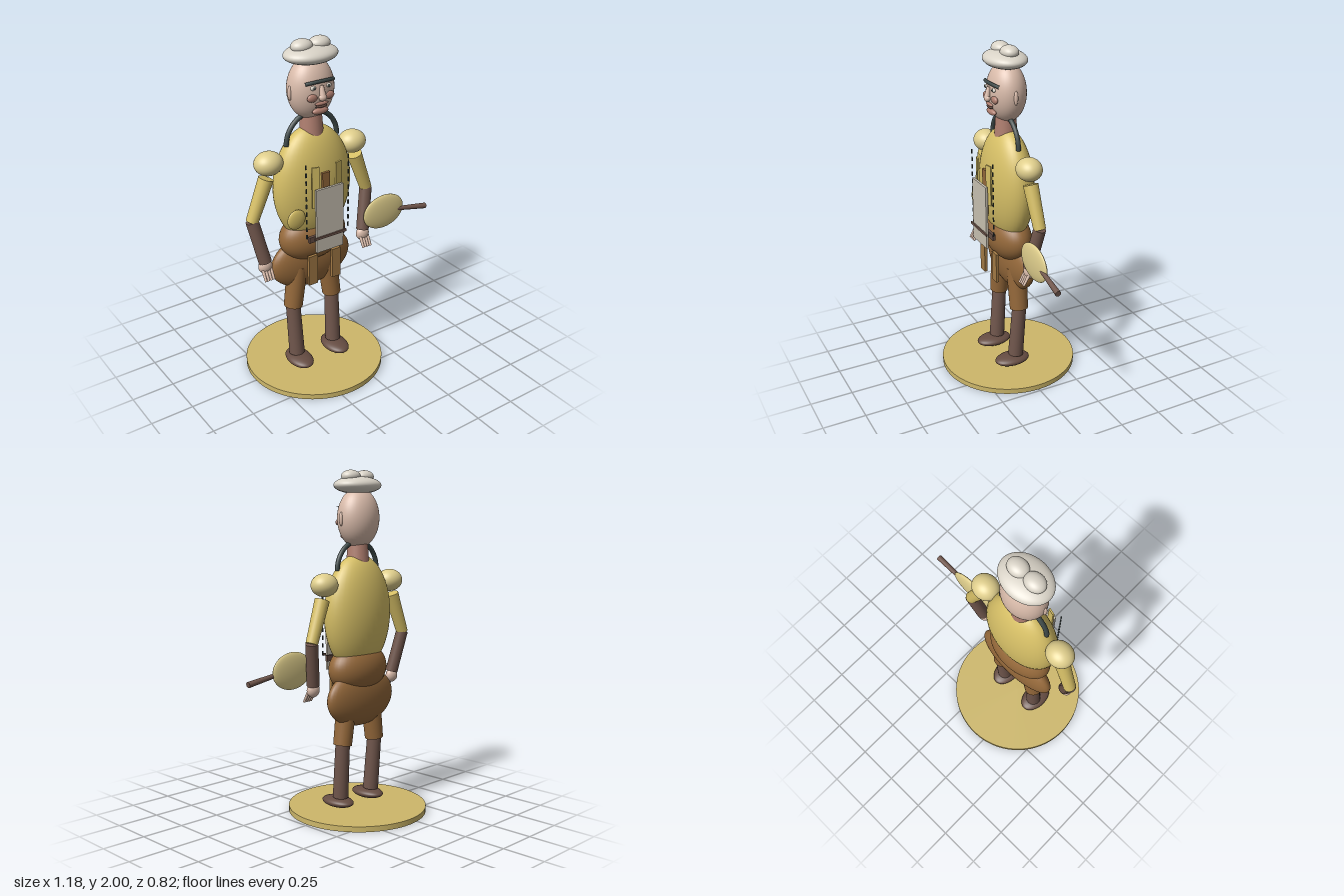
import * as THREE from 'three';

const CX = -0.175; // figure's centre line
const mat = (color) => new THREE.MeshStandardMaterial({ color });
const M = {
  yellow: mat(0xd6bf66), pale: mat(0xdfce8c), base: mat(0xcdb76a), brown: mat(0x94683a),
  tan: mat(0xa27a45), dark: mat(0x70564c), shoe: mat(0x654c42), skin: mat(0xd9bbaa),
  lip: mat(0xb07f70), hat: mat(0xd9d3c7), slate: mat(0x3d4847), panel: mat(0xc9c1b2),
};

export function createModel() {
  const root = new THREE.Group();

  const add = (name, geometry, material, parent = root) => {
    const mesh = new THREE.Mesh(geometry, material);
    mesh.name = name;
    parent.add(mesh);
    return mesh;
  };
  const ball = (name, material, [x, y, z], [rx, ry, rz], parent) => {
    const mesh = add(name, new THREE.SphereGeometry(1, 40, 28), material, parent);
    mesh.position.set(x, y, z);
    mesh.scale.set(rx, ry, rz);
    return mesh;
  };
  const box = (name, material, [x, y, z], [w, h, d], parent) => {
    const mesh = add(name, new THREE.BoxGeometry(w, h, d), material, parent);
    mesh.position.set(x, y, z);
    return mesh;
  };
  // Tapered cylinder running from point a to point b
  const limb = (name, material, a, b, ra, rb, parent) => {
    const from = new THREE.Vector3(...a), to = new THREE.Vector3(...b);
    const dir = to.clone().sub(from);
    const mesh = add(name, new THREE.CylinderGeometry(rb, ra, dir.length(), 28), material, parent);
    mesh.position.copy(from).add(to).multiplyScalar(0.5);
    mesh.quaternion.setFromUnitVectors(new THREE.Vector3(0, 1, 0), dir.normalize());
    return mesh;
  };

  // Round stand
  const stand = add('stand', new THREE.CylinderGeometry(0.41, 0.41, 0.032, 72), M.base);
  stand.position.set(CX, 0.016, 0);

  const figure = new THREE.Group();
  figure.name = 'figure';
  figure.position.x = CX;
  root.add(figure);

  // Trunk
  ball('torso', M.yellow, [0, 1.18, 0.003], [0.242, 0.345, 0.133], figure);
  ball('waist', M.brown, [0, 0.86, 0], [0.212, 0.15, 0.122], figure);
  ball('hips', M.brown, [0, 0.69, -0.022], [0.264, 0.17, 0.078], figure);
  limb('neck', M.lip, [0, 1.47, 0.004], [0, 1.59, 0.004], 0.067, 0.058, figure);

  // Pipe arching over the shoulders
  const pipe = add('shoulderPipe', new THREE.TorusGeometry(0.163, 0.014, 14, 48, Math.PI), M.slate, figure);
  pipe.position.set(0, 1.435, 0.008);

  // Head and hat
  ball('head', M.skin, [0, 1.73, 0], [0.135, 0.172, 0.108], figure);
  ball('hatBrim', M.hat, [0, 1.915, 0.007], [0.155, 0.05, 0.118], figure);
  for (const s of [-1, 1]) ball('hatPuff', M.hat, [s * 0.055, 1.963, 0.007], [0.061, 0.037, 0.05], figure);

  // Face
  const face = new THREE.Group();
  face.name = 'face';
  figure.add(face);
  const browCurve = new THREE.QuadraticBezierCurve3(
    new THREE.Vector3(-0.088, 1.783, 0.085), new THREE.Vector3(0, 1.802, 0.13), new THREE.Vector3(0.088, 1.783, 0.085));
  add('brow', new THREE.TubeGeometry(browCurve, 24, 0.01, 10), M.slate, face);
  limb('noseBridge', M.skin, [0, 1.77, 0.106], [0, 1.71, 0.118], 0.01, 0.019, face);
  ball('noseTip', M.skin, [0, 1.706, 0.117], [0.023, 0.02, 0.018], face);
  for (const s of [-1, 1]) {
    ball('eye', M.hat, [s * 0.048, 1.76, 0.1], [0.017, 0.012, 0.009], face);
    ball('pupil', M.slate, [s * 0.045, 1.76, 0.108], [0.006, 0.007, 0.005], face);
    ball('cheek', M.lip, [s * 0.053, 1.706, 0.098], [0.031, 0.022, 0.014], face);
    ball('ear', M.skin, [s * 0.133, 1.725, 0.007], [0.012, 0.04, 0.012], face);
  }
  ball('upperLip', M.lip, [0, 1.67, 0.104], [0.042, 0.01, 0.01], face);
  ball('mouth', M.shoe, [0, 1.654, 0.102], [0.036, 0.008, 0.009], face);
  ball('chin', M.lip, [0, 1.626, 0.092], [0.05, 0.019, 0.018], face);

  // Arms and legs, mirrored
  for (const s of [-1, 1]) {
    const arm = new THREE.Group();
    arm.name = s > 0 ? 'leftArm' : 'rightArm';
    figure.add(arm);
    ball('shoulder', M.pale, [s * 0.272, 1.36, 0], [0.082, 0.066, 0.073], arm);
    limb('upperArm', M.yellow, [s * 0.29, 1.277, 0], [s * 0.381, 1.04, -0.01], 0.043, 0.035, arm);
    limb('forearm', M.dark, [s * 0.381, 1.042, -0.01], [s * 0.333, 0.795, 0.03], 0.036, 0.037, arm);
    ball('hand', M.skin, [s * 0.333, 0.768, 0.03], [0.042, 0.042, 0.03], arm);
    for (let i = 0; i < 4; i++) {
      const x = s * 0.333 + (i - 1.5) * 0.017;
      limb('finger', M.skin, [x, 0.755, 0.045], [x, 0.697, 0.078], 0.009, 0.007, arm);
    }

    const leg = new THREE.Group();
    leg.name = s > 0 ? 'leftLeg' : 'rightLeg';
    figure.add(leg);
    limb('breeches', M.brown, [s * 0.1, 0.68, -0.008], [s * 0.135, 0.42, -0.008], 0.06, 0.055, leg);
    limb('shin', M.dark, [s * 0.136, 0.46, -0.012], [s * 0.13, 0.1, 0.013], 0.042, 0.046, leg);
    ball('shoe', M.shoe, [s * 0.128, 0.068, 0.036], [0.071, 0.031, 0.11], leg);

    // Strap ends hanging over the breeches
    box('hangingStrap', M.tan, [s * 0.078, 0.7, 0.118], [0.058, 0.182, 0.018], figure);
    // Slats standing behind the front board
    const slat = box('slat', M.yellow, [s * 0.073, 1.22, 0.15], [0.042, 0.24, 0.01], figure);
    slat.rotation.y = s * 0.25;
    // Row of stitches down the chest
    for (let i = 0; i < 10; i++) {
      box('stitch', M.slate, [s * 0.137, 1.357 - i * 0.046, 0.155], [0.007, 0.025, 0.006], figure);
    }
  }

  // Front board with its belt
  box('middleSlat', M.brown, [0, 1.15, 0.138], [0.048, 0.28, 0.014], figure);
  box('belt', M.shoe, [0, 0.911, 0.143], [0.235, 0.035, 0.018], figure);
  box('board', M.panel, [0, 1.027, 0.172], [0.176, 0.38, 0.014], figure);
  box('boardBand', M.dark, [0, 0.928, 0.183], [0.21, 0.014, 0.008], figure);

  // Round pouch and held paddle
  ball('pouch', M.yellow, [-0.177, 1.045, 0.115], [0.057, 0.058, 0.017], figure);
  ball('paddle', M.pale, [0.283, 0.89, 0.066], [0.145, 0.106, 0.023]);
  limb('paddleHandle', M.dark, [0.36, 0.886, 0.07], [0.585, 0.848, 0.086], 0.012, 0.017);

  return root;
}
